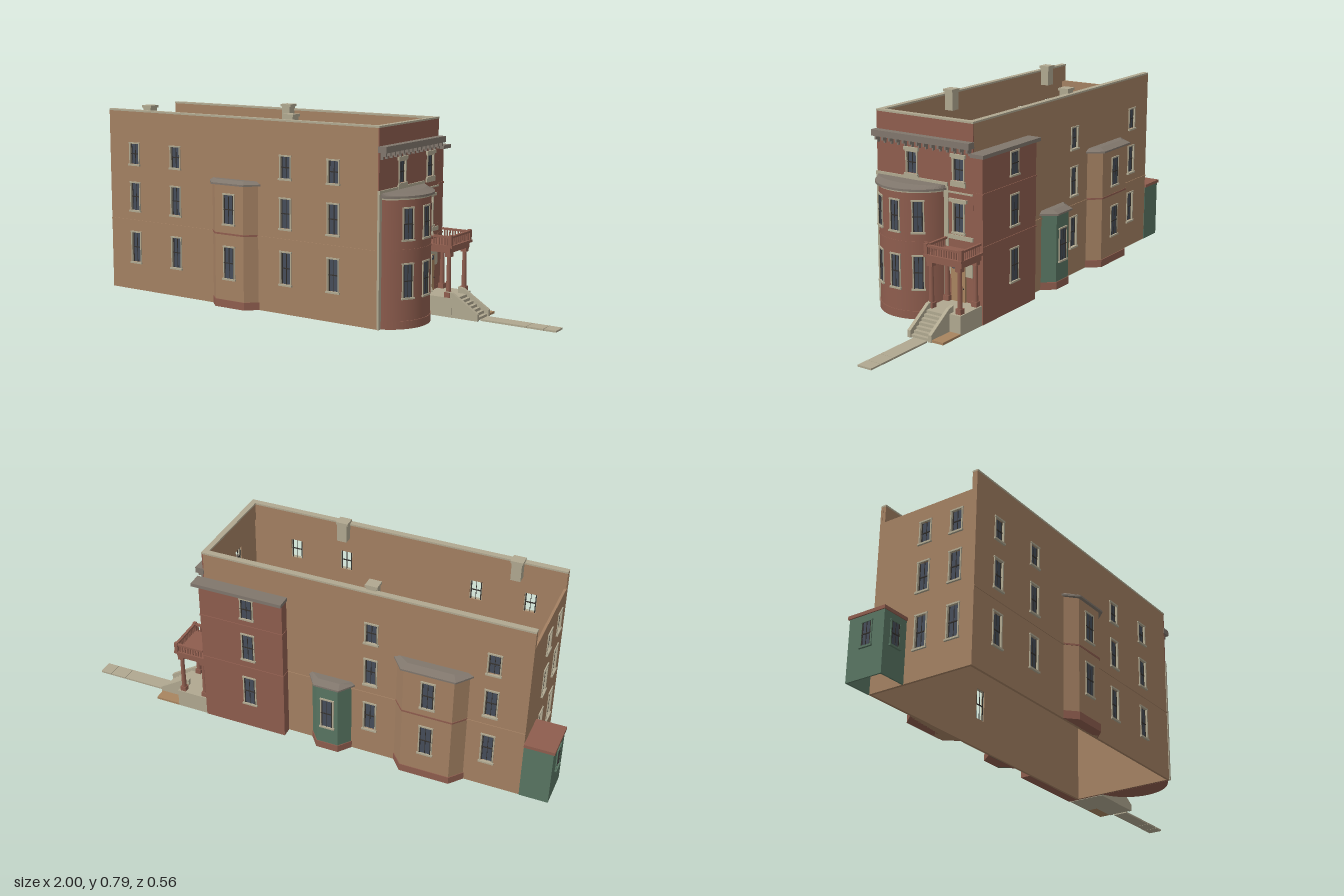
import * as THREE from 'three';

const paint = (name, color, side = THREE.FrontSide) => {
  const m = new THREE.MeshStandardMaterial({ color, side });
  m.name = name;
  return m;
};

export function createModel() {
  const root = new THREE.Group();
  root.name = 'townHouse';
  const brown = paint('brownBrick', 0xa38062), red = paint('redBrick', 0x8e5d4e);
  const stone = paint('paleStone', 0xb0a890), grey = paint('greyRoof', 0x80766c);
  const green = paint('greenBoards', 0x587562), glass = paint('darkGlass', 0x454c59);
  const dark = paint('darkSash', 0x35322f), wood = paint('doorWood', 0xa8845f);

  const add = (parent, name, geo, mat, x = 0, y = 0, z = 0) => {
    const m = new THREE.Mesh(geo, mat);
    m.name = name;
    m.position.set(x, y, z);
    parent.add(m);
    return m;
  };
  // box given by its limits
  const box = (parent, name, mat, x0, x1, y0, y1, z0, z1) =>
    add(parent, name, new THREE.BoxGeometry(x1 - x0, y1 - y0, z1 - z0), mat,
      (x0 + x1) / 2, (y0 + y1) / 2, (z0 + z1) / 2);
  const group = (parent, name, rot = 0) => {
    const g = new THREE.Group();
    g.name = name;
    g.rotation.y = rot;
    parent.add(g);
    return g;
  };
  // plan outline of [x, z] points raised from y0 to y1
  const prism = (parent, name, mat, pts, y0, y1) => {
    const s = new THREE.Shape(pts.map(([x, z]) => new THREE.Vector2(x, -z)));
    const g = new THREE.ExtrudeGeometry(s, { depth: y1 - y0, bevelEnabled: false });
    return add(parent, name, g.rotateX(-Math.PI / 2), mat, 0, y0, 0);
  };

  // sash window facing +z, on the plane z = d
  function sashWindow(parent, u, y0, y1, w, d, back = 0.001, trim = stone) {
    const g = group(parent, 'window');
    g.position.set(u, 0, d);
    const h = w / 2, f = 0.005, m = (y0 + y1) / 2;
    add(g, 'glass', new THREE.PlaneGeometry(w, y1 - y0), glass, 0, m, back);
    for (const s of [-1, 1]) {
      box(g, 'jamb', trim, s * h - f / 2, s * h + f / 2, y0, y1, back - 0.001, 0.004);
      box(g, 'sashStile', dark, s * (h - 0.005) - 0.002, s * (h - 0.005) + 0.002, y0, y1, back, back + 0.002);
    }
    box(g, 'meetingRail', dark, -h, h, m - 0.002, m + 0.002, back, back + 0.003);
    box(g, 'glazingBar', dark, -0.001, 0.001, y0, y1, back, back + 0.002);
    box(g, 'sill', trim, -h - 0.006, h + 0.006, y0 - 0.007, y0, back - 0.001, 0.008);
    box(g, 'head', trim, -h - 0.004, h + 0.004, y1, y1 + 0.006, back - 0.001, 0.005);
  }

  // pierced wall at distance d along its facing, u running along it
  function wall(name, rot, d, u0, u1, top, wins, outer, inner = brown) {
    const g = group(root, name, rot);
    const s = new THREE.Shape([[u0, 0.005], [u1, 0.005], [u1, top], [u0, top]].map(p => new THREE.Vector2(...p)));
    for (const [u, y0, y1, w] of wins) {
      const a = u - w / 2, b = u + w / 2;
      s.holes.push(new THREE.Path([[a, y0], [a, y1], [b, y1], [b, y0]].map(p => new THREE.Vector2(...p))));
      sashWindow(g, u, y0, y1, w, d, -0.006);
    }
    const geo = new THREE.ExtrudeGeometry(s, { depth: 0.005, bevelEnabled: false });
    add(g, 'outerFace', geo, outer, 0, 0, d - 0.005);
    add(g, 'innerFace', geo, inner, 0, 0, d - 0.01);
    return g;
  }

  const rows = [[0.125, 0.25], [0.345, 0.46], [0.54, 0.625]];
  const grid = (us, w = 0.05) => us.flatMap(u => rows.map(([a, b]) => [u, a, b, w]));

  // main walls
  const front = wall('frontWall', 0, 0.225, -0.88, 0.44, 0.76, grid([-0.745, -0.525, 0.025, 0.245]), brown);
  const rear = wall('backWall', Math.PI, 0.22, -0.44, 0.88, 0.76, grid([0.74, 0.26]), brown);
  wall('leftWall', -Math.PI / 2, 0.88, -0.22, 0.225, 0.69, grid([0, 0.14]), brown);
  const facade = wall('rightFacade', Math.PI / 2, 0.445, -0.225, 0.22, 0.76,
    [[-0.06, 0.54, 0.622, 0.05], [0.155, 0.54, 0.622, 0.05], [0.155, 0.345, 0.455, 0.05]], red);
  box(front, 'beltCourse', brown, -0.88, 0.44, 0.298, 0.304, 0.224, 0.228);
  box(rear, 'beltCourse', brown, -0.44, 0.88, 0.298, 0.304, 0.219, 0.223);

  // parapet lining and stone coping
  for (const [x0, x1, z0, z1] of [[-0.88, 0.445, 0.203, 0.225], [-0.88, 0.445, -0.22, -0.198], [0.423, 0.445, -0.198, 0.203]]) {
    const zi0 = z1 > 0.21 && z0 > 0 ? z0 : Math.max(z0, -0.212);
    box(root, 'parapetLining', brown, x0 + 0.001, Math.min(x1, 0.437), 0.69, 0.759, zi0, Math.min(z1, 0.217));
    box(root, 'coping', stone, x0, x1 + 0.001, 0.759, 0.766, z0 - 0.001, z1 + 0.001);
  }
  // chimneys
  for (const [x, z] of [[-0.69, 0.185], [0.025, 0.185], [-0.25, -0.185]]) {
    box(root, 'chimney', stone, x - 0.02, x + 0.02, 0.7, 0.778, z - 0.02, z + 0.02);
    box(root, 'chimneyCap', stone, x - 0.025, x + 0.025, 0.776, 0.786, z - 0.023, z + 0.023);
  }

  // facade cornice with brackets, bands and pilasters
  box(facade, 'cornice', grey, -0.228, 0.222, 0.668, 0.692, 0.44, 0.476);
  for (let i = 0; i < 14; i++) {
    const u = -0.214 + i * 0.0325;
    box(facade, 'bracket', grey, u - 0.004, u + 0.004, 0.653, 0.668, 0.44, 0.468);
    box(facade, 'bracketFoot', grey, u - 0.003, u + 0.003, 0.642, 0.653, 0.44, 0.456);
  }
  box(facade, 'stoneBand', stone, -0.228, 0.107, 0.514, 0.528, 0.44, 0.451);
  box(facade, 'pilaster', stone, -0.228, -0.211, 0.005, 0.514, 0.44, 0.449);
  box(facade, 'pilaster', stone, 0.09, 0.109, 0.005, 0.514, 0.44, 0.449);
  for (const u of [-0.06, 0.155]) {
    box(facade, 'lintel', stone, u - 0.034, u + 0.034, 0.627, 0.64, 0.444, 0.453);
    box(facade, 'windowApron', stone, u - 0.034, u + 0.034, 0.518, 0.534, 0.444, 0.452);
  }
  box(facade, 'windowHood', stone, 0.115, 0.195, 0.46, 0.472, 0.444, 0.455);
  box(facade, 'stoneBand', stone, 0.109, 0.22, 0.492, 0.498, 0.444, 0.45);
  box(facade, 'stoneBand', stone, 0.109, 0.22, 0.318, 0.334, 0.444, 0.45);

  // rounded bay
  const bayX = 0.39, bayZ = 0.06, a0 = 0.34;
  const segment = (name, mat, r, y0, y1) => {
    const start = Math.asin((0.446 - bayX) / r), pts = [];
    for (let i = 0; i <= 32; i++) {
      const a = start + (Math.PI - 2 * start) * i / 32;
      pts.push([bayX + r * Math.sin(a), bayZ + r * Math.cos(a)]);
    }
    return prism(root, name, mat, pts, y0, y1);
  };
  add(root, 'roundBay', new THREE.CylinderGeometry(0.16, 0.16, 0.495, 40, 1, true, a0, Math.PI - 2 * a0), red, bayX, 0.2525, bayZ);
  segment('roundBayBase', red, 0.163, 0.005, 0.036);
  segment('roundBayBelt', red, 0.162, 0.299, 0.307);
  segment('roundBayFrieze', stone, 0.163, 0.493, 0.501);
  segment('roundBayEave', grey, 0.173, 0.5, 0.508);
  const bayRoof = segment('roundBayRoof', grey, 0.17, 0.508, 0.518);
  const rp = bayRoof.geometry.attributes.position;
  for (let i = 0; i < rp.count; i++) if (rp.getY(i) > 0.005) rp.setX(i, 0.446 + (rp.getX(i) - 0.446) * 0.6);
  bayRoof.geometry.computeVertexNormals();
  for (const a of [-0.575, 0, 0.575]) {
    const g = group(root, 'roundBayWindows', Math.PI / 2 + a);
    g.position.set(bayX, 0, bayZ);
    for (const [y0, y1] of rows.slice(0, 2)) sashWindow(g, 0, y0, y1, 0.042, 0.16);
  }

  // canted bays: outer and inner half widths, depth
  function cantedBay(name, rot, d, u, ho, hi, depth, top, mat, wins) {
    const g = group(root, name, rot);
    const plan = e => [[u - ho - e, d - 0.002], [u - hi - e * 0.6, d + depth + e], [u + hi + e * 0.6, d + depth + e], [u + ho + e, d - 0.002]];
    prism(g, 'bayBody', mat, plan(0), 0.005, top);
    prism(g, 'bayBase', red, plan(0.003), 0.005, 0.036);
    if (top > 0.4) prism(g, 'bayBelt', red, plan(0.002), 0.3, 0.307);
    prism(g, 'bayEave', grey, plan(0.013), top, top + 0.007);
    const roof = prism(g, 'bayRoof', grey, plan(0.013), top + 0.007, top + 0.018);
    const p = roof.geometry.attributes.position;
    for (let i = 0; i < p.count; i++) if (p.getY(i) > 0.005) {
      p.setX(i, u + (p.getX(i) - u) * 0.85);
      p.setZ(i, d + (p.getZ(i) - d) * 0.5);
    }
    roof.geometry.computeVertexNormals();
    for (const [y0, y1] of wins) sashWindow(g, u, y0, y1, 0.052, d + depth);
  }
  cantedBay('frontBay', 0, 0.225, -0.22, 0.115, 0.07, 0.04, 0.5, brown, rows.slice(0, 2));
  cantedBay('backBay', Math.PI, 0.22, 0.51, 0.145, 0.1, 0.05, 0.5, brown, rows.slice(0, 2));
  cantedBay('greenBackBay', Math.PI, 0.22, 0.1, 0.085, 0.045, 0.048, 0.315, green, [[0.12, 0.25]]);

  // rear brick projection
  const wing = group(root, 'rearProjection');
  box(wing, 'projectionWalls', red, 0.09, 0.445, 0.005, 0.64, -0.262, -0.2201);
  box(wing, 'projectionCornice', grey, 0.085, 0.468, 0.64, 0.654, -0.28, -0.221);
  for (const y of [0.3, 0.5]) box(wing, 'projectionBelt', red, 0.088, 0.447, y, y + 0.006, -0.265, -0.221);
  const wingBack = group(wing, 'projectionWindows', Math.PI);
  for (const [y0, y1] of rows) sashWindow(wingBack, -0.24, y0, y1, 0.052, 0.262);

  // green shed with brick-red roof, open underneath
  const shed = group(root, 'shed');
  box(shed, 'shedFront', green, -0.995, -0.88, 0.005, 0.245, -0.07, -0.064);
  box(shed, 'shedBack', green, -0.995, -0.88, 0.005, 0.245, -0.222, -0.216);
  box(shed, 'shedSide', green, -0.995, -0.989, 0.005, 0.245, -0.216, -0.07);
  box(shed, 'shedRoof', red, -1, -0.88, 0.245, 0.258, -0.227, -0.06);
  sashWindow(shed, -0.937, 0.125, 0.215, 0.045, -0.064, 0.001, green);
  sashWindow(group(shed, 'shedSideWindow', -Math.PI / 2), -0.14, 0.125, 0.215, 0.045, 0.995, 0.001, green);

  // entrance door
  box(facade, 'doorSurround', stone, 0.109, 0.218, 0.18, 0.258, 0.444, 0.449);
  box(facade, 'doorLeaf', wood, 0.124, 0.187, 0.08, 0.226, 0.444, 0.453);
  for (const u of [0.142, 0.169]) box(facade, 'transomGlass', glass, u - 0.012, u + 0.012, 0.206, 0.222, 0.452, 0.455);
  box(facade, 'doorKnob', dark, 0.18, 0.183, 0.13, 0.135, 0.452, 0.457);

  // porch, balcony and steps
  const porch = group(root, 'porch');
  box(porch, 'porchFloor', stone, 0.445, 0.58, 0.003, 0.08, -0.257, -0.1);
  for (const z of [-0.112, -0.24]) for (const x of [0.46, 0.558]) {
    add(porch, 'column', new THREE.CylinderGeometry(0.008, 0.01, 0.15, 14), red, x, 0.17, z);
    box(porch, 'columnBase', red, x - 0.012, x + 0.012, 0.08, 0.1, z - 0.012, z + 0.012);
    box(porch, 'columnCapital', red, x - 0.012, x + 0.012, 0.24, 0.258, z - 0.012, z + 0.012);
  }
  box(porch, 'porchBeam', red, 0.445, 0.57, 0.256, 0.276, -0.256, -0.097);
  box(porch, 'balconyFloor', red, 0.445, 0.58, 0.276, 0.286, -0.263, -0.092);
  const baluster = new THREE.CylinderGeometry(0.003, 0.003, 0.03, 6);
  for (let i = 0; i <= 14; i++) add(porch, 'baluster', baluster, red, 0.57, 0.3, -0.255 + i * 0.011);
  for (const z of [-0.255, -0.1]) {
    for (let i = 0; i < 9; i++) add(porch, 'baluster', baluster, red, 0.46 + i * 0.012, 0.3, z);
    box(porch, 'sideRail', red, 0.449, 0.576, 0.314, 0.322, z - 0.005, z + 0.005);
    box(porch, 'railPost', red, 0.563, 0.577, 0.286, 0.326, z - 0.007, z + 0.007);
  }
  box(porch, 'frontRail', red, 0.565, 0.576, 0.314, 0.322, -0.255, -0.1);
  for (let i = 0; i < 7; i++)
    box(porch, 'step', stone, 0.58, 0.685 - i * 0.015, 0.003 + i * 0.011, 0.014 + i * 0.011, -0.195, -0.115);
  const cheek = new THREE.Shape([[0.555, 0.003], [0.69, 0.003], [0.69, 0.03], [0.58, 0.1], [0.555, 0.105]].map(p => new THREE.Vector2(...p)));
  for (const z of [-0.115, -0.209])
    add(porch, 'stairCheek', new THREE.ExtrudeGeometry(cheek, { depth: 0.014, bevelEnabled: false }), stone, 0, 0, z);
  box(porch, 'sideSlab', wood, 0.58, 0.685, 0.003, 0.012, -0.257, -0.209);

  // footpath slabs
  for (const [x0, x1] of [[0.69, 0.879], [0.881, 0.949], [0.951, 1]])
    box(root, 'footpathSlab', stone, x0, x1, 0, 0.007, -0.19, -0.13);
  return root;
}
